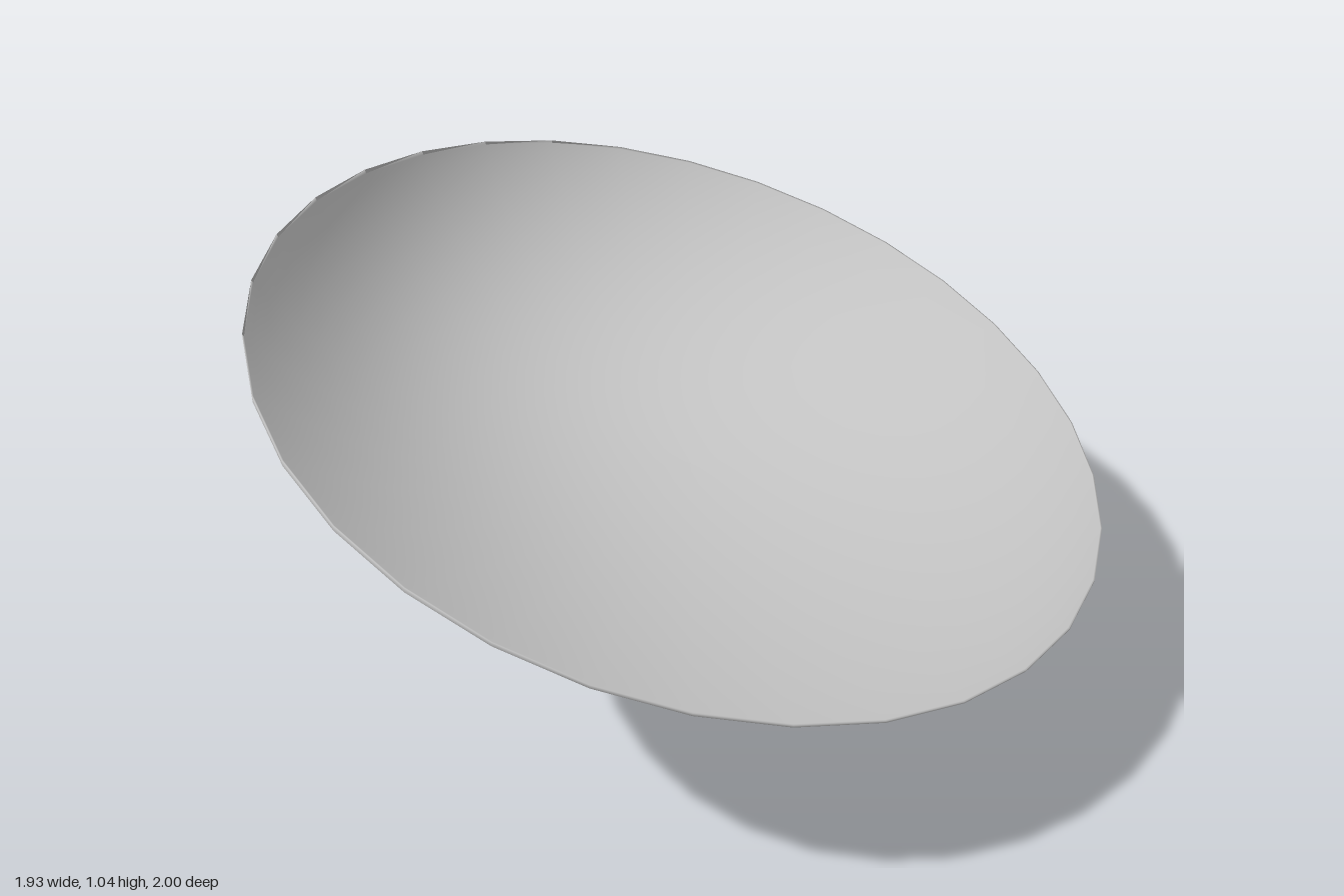
import * as THREE from 'three';

const SEGMENTS = 32, RINGS = 18, RADIUS_X = 0.963;

// Height of the tilted rim plane, and the depth of the lopsided bowl below it
const rimHeight = (u) => 0.715 - 0.327 * u;
const bowlDepth = (u, r) => 0.24 * (1 - r * r) * Math.sqrt(Math.max(0, 1 - u) / (1.1 + u));

// Closed shell: underside from centre to rim, then the inside back to the centre
function dishGeometry() {
  const positions = [], index = [], rows = [];
  for (let i = 0; i <= RINGS; i++) rows.push({ r: Math.sin((i / RINGS) * Math.PI / 2), inside: false });
  for (let i = RINGS; i >= 0; i--) rows.push({ r: Math.sin((i / RINGS) * Math.PI / 2), inside: true });
  for (const { r, inside } of rows) {
    for (let j = 0; j < SEGMENTS; j++) {
      const a = (j / SEGMENTS) * Math.PI * 2;
      const u = r * Math.cos(a), v = r * Math.sin(a);
      const wall = 0.003 + 0.008 * (1 - u);
      // the inside meets the rim plane; the underside lies one wall below it
      const depth = bowlDepth(u, r) * 0.95 + (inside ? 0 : wall);
      positions.push(RADIUS_X * u, rimHeight(u) - depth, v);
    }
  }
  for (let i = 0; i < rows.length - 1; i++) {
    for (let j = 0; j < SEGMENTS; j++) {
      const k = (j + 1) % SEGMENTS;
      const a = i * SEGMENTS + j, b = i * SEGMENTS + k;
      const c = a + SEGMENTS, d = b + SEGMENTS;
      if (i < rows.length - 2) index.push(b, c, d);
      if (i > 0) index.push(a, c, b);
    }
  }
  const geometry = new THREE.BufferGeometry();
  geometry.setAttribute('position', new THREE.Float32BufferAttribute(positions, 3));
  geometry.setIndex(index);
  geometry.computeVertexNormals();
  return geometry;
}

export function createModel() {
  const group = new THREE.Group();
  const material = new THREE.MeshStandardMaterial({ color: 0xcccccc });
  const add = (name, geometry) => {
    const mesh = new THREE.Mesh(geometry, material);
    mesh.name = name;
    group.add(mesh);
    return mesh;
  };

  add('dish', dishGeometry());

  // Curved stem hooking into the underside of the dish
  const path = new THREE.CatmullRomCurve3([
    [0.017, 0.008], [-0.008, 0.075], [-0.03, 0.18], [-0.07, 0.28],
    [-0.091, 0.36], [-0.078, 0.42], [-0.045, 0.458], [-0.006, 0.474],
  ].map(([x, y]) => new THREE.Vector3(x, y, 0)));
  const stemRadius = 0.019;
  add('stem', new THREE.TubeGeometry(path, 40, stemRadius, 16));

  // Flat cap closing the foot of the stem
  const cap = add('stemFoot', new THREE.CircleGeometry(stemRadius, 16));
  cap.position.copy(path.getPoint(0));
  cap.lookAt(path.getPoint(0).sub(path.getTangent(0)));

  return group;
}
